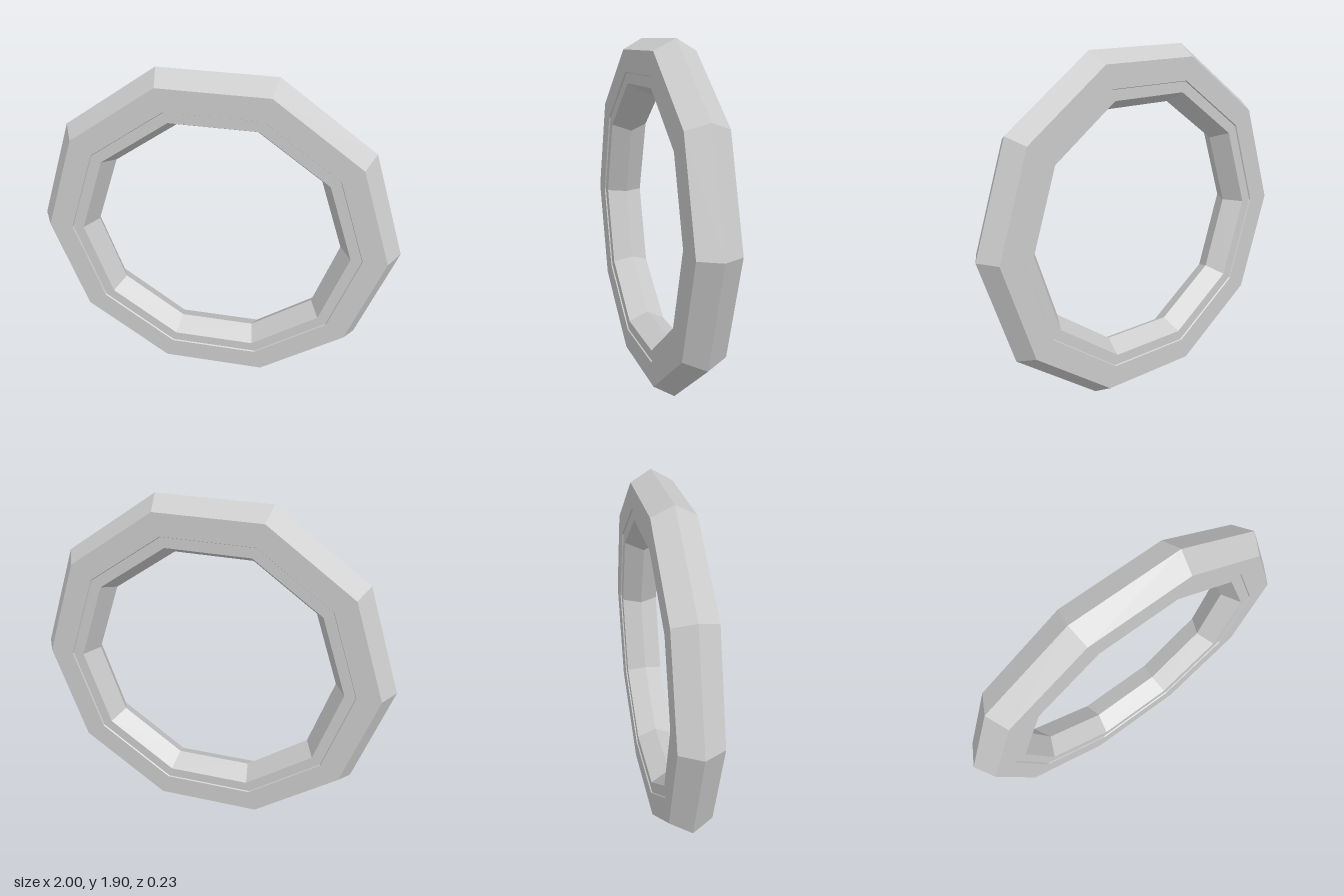
import * as THREE from 'three';

const SIDES = 10;
const material = new THREE.MeshStandardMaterial({ color: 0xcccccc, flatShading: true });

// Ten-sided ring with a hexagonal cross-section, a corner pointing to each side
function ring(name, radius, thickness) {
  const mesh = new THREE.Mesh(new THREE.TorusGeometry(radius, thickness, 6, SIDES), material);
  mesh.name = name;
  mesh.position.y = Math.cos(Math.PI / SIDES); // flat side rests on the ground
  return mesh;
}

export function createModel() {
  const model = new THREE.Group();
  model.name = 'decagonRing';
  // The slightly thinner inner ring leaves a small step on both faces
  model.add(ring('outerRing', 0.87, 0.13), ring('innerRing', 0.802, 0.122));
  return model;
}
